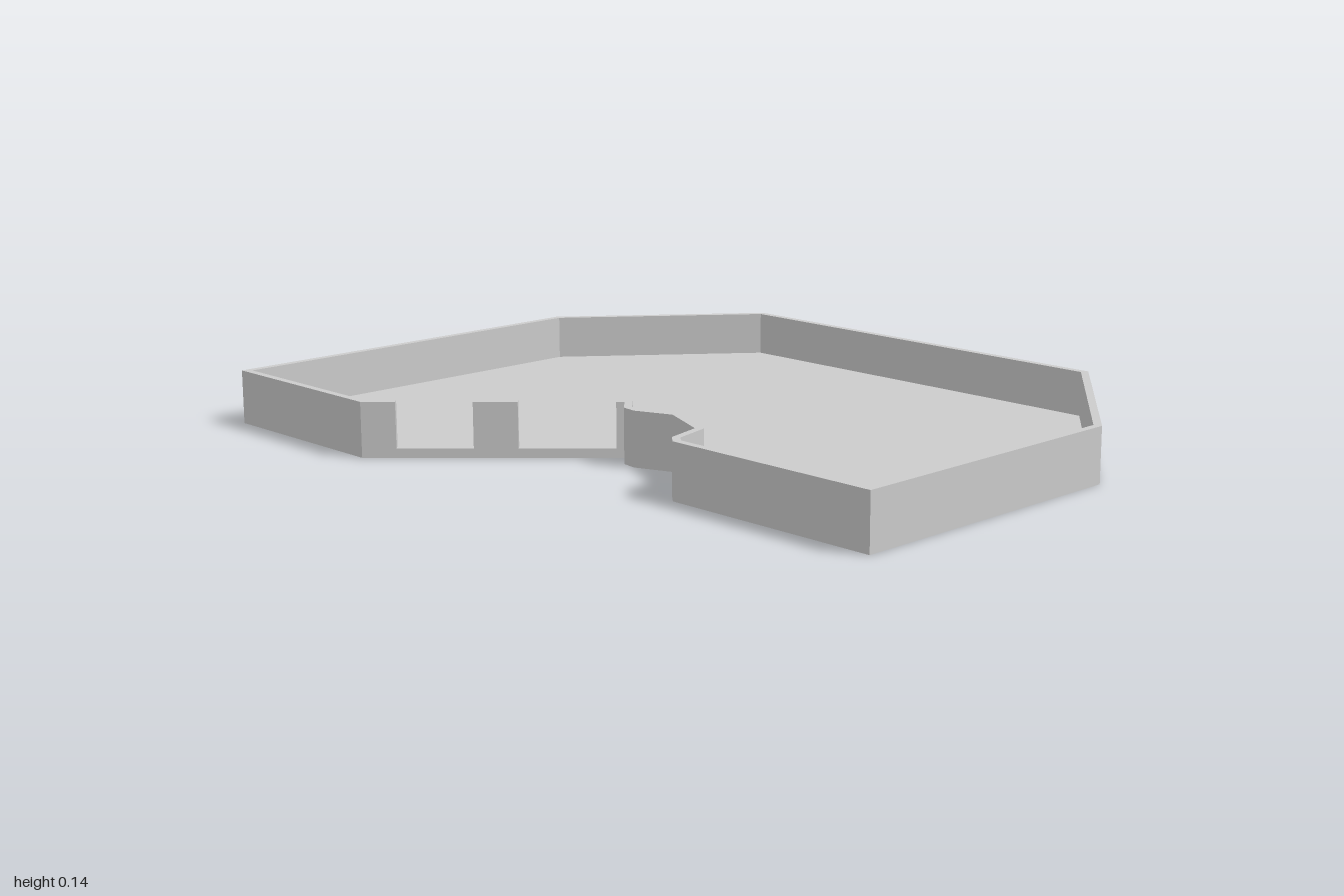
import * as THREE from 'three';

const HEIGHT = 0.145, FLOOR = 0.025, WALL = 0.02;

// Outer edge of the main wall as [x, z], from the notch tip round to the stub on the slanted side
const rim = [
  [-0.345, -0.01], [-0.33, 0.005], [-0.372, 0.048], [-0.378, 0.09], [-0.34, 0.19],
  [-0.4, 0.33], [-0.5, 0.355], [-0.528, 0.387], [-0.528, 1], [0.31, 1], [0.8, 0.605],
  [0.8, -0.605], [0.31, -1], [-0.8, -1], [-0.8, -0.465], [-0.738, -0.403],
];

// Short free-standing wall between the two openings
const post = [[-0.6, -0.265], [-0.52, -0.185]];

// Mitred offset of an open path towards the inside of the tray
function inset(path, d) {
  const pts = path.map(([x, z]) => new THREE.Vector2(x, z));
  const normal = (a, b) => {
    const t = b.clone().sub(a).normalize();
    return new THREE.Vector2(t.y, -t.x);
  };
  return pts.map((p, i) => {
    const n1 = normal(pts[Math.max(i - 1, 0)], pts[Math.max(i, 1)]);
    const last = pts.length - 1;
    const n2 = normal(pts[Math.min(i, last - 1)], pts[Math.min(i + 1, last)]);
    const m = n1.clone().add(n2).multiplyScalar(d / (1 + n1.dot(n2)));
    return [p.x + m.x, p.y + m.y];
  });
}

// Upright prism over a plan outline
function prism(name, outline, y, height, material) {
  const shape = new THREE.Shape(outline.map(([x, z]) => new THREE.Vector2(x, -z)));
  const geometry = new THREE.ExtrudeGeometry(shape, { depth: height, bevelEnabled: false });
  geometry.rotateX(-Math.PI / 2).translate(0, y, 0);
  const mesh = new THREE.Mesh(geometry, material);
  mesh.name = name;
  return mesh;
}

export function createModel() {
  const material = new THREE.MeshStandardMaterial({ color: 0xcccccc, flatShading: true });
  const wall = (name, path) =>
    prism(name, [...path, ...inset(path, WALL).reverse()], FLOOR, HEIGHT - FLOOR, material);

  const tray = new THREE.Group();
  tray.name = 'tray';
  tray.add(
    prism('floor', rim, 0, FLOOR, material),
    wall('rimWall', rim),
    wall('openingPost', post),
  );
  return tray;
}
